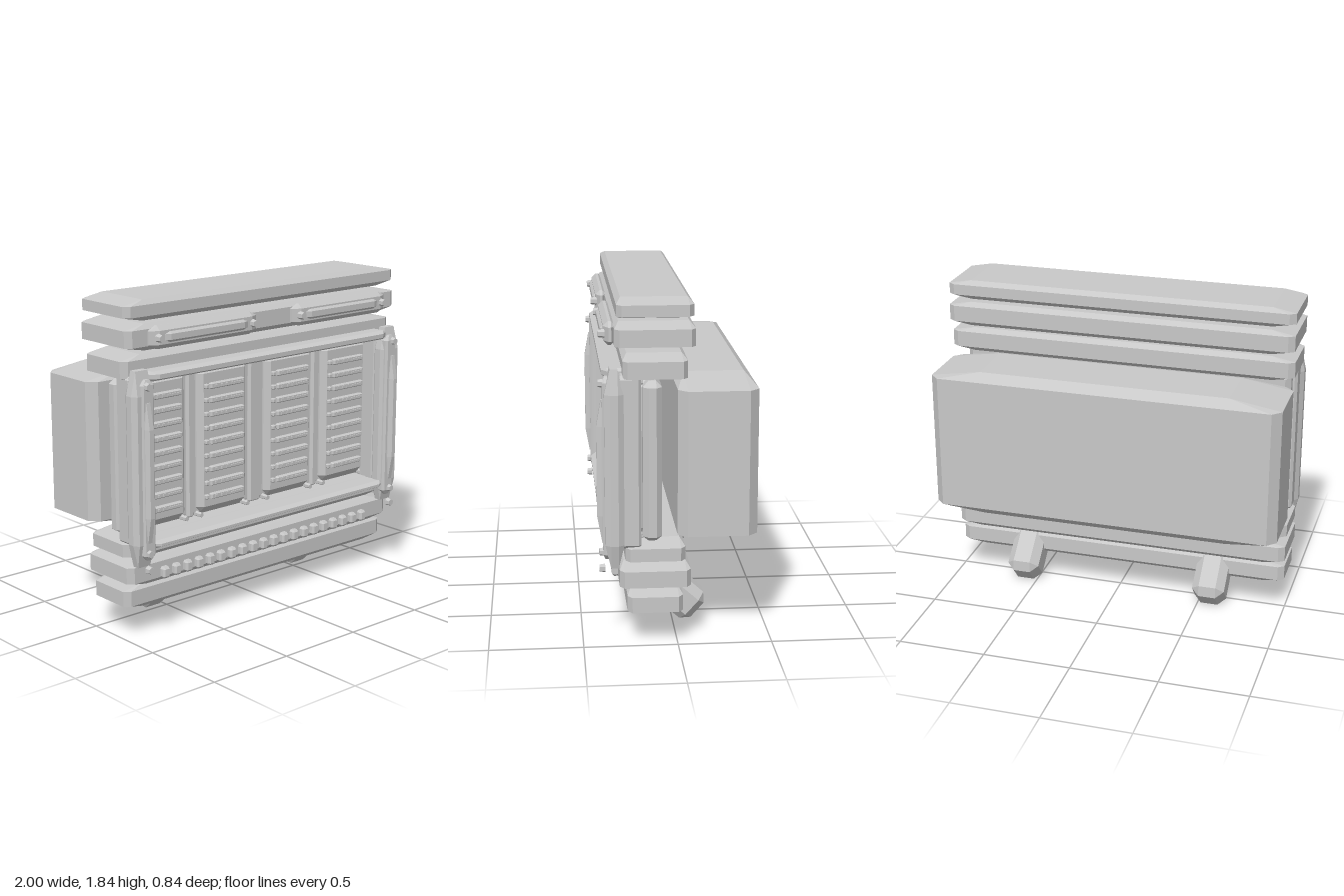
import * as THREE from 'three';
import { ConvexGeometry } from 'three/addons/geometries/ConvexGeometry.js';

const steel = new THREE.MeshStandardMaterial({ color: 0xc8c8c8 });
steel.name = 'plainGrey';

// Box with chamfered edges. topX insets the top and bottom faces, faceX the front and back faces.
function chamferBox(w, h, d, { y = 0.02, z = 0.02, topX = 0.02, faceX = 0.02 } = {}) {
  const points = [];
  for (const sx of [-1, 1]) for (const sy of [-1, 1]) for (const sz of [-1, 1]) {
    const X = w / 2, Y = h / 2, Z = d / 2;
    points.push(
      new THREE.Vector3(sx * X, sy * (Y - y), sz * (Z - z)),
      new THREE.Vector3(sx * (X - topX), sy * Y, sz * (Z - z)),
      new THREE.Vector3(sx * (X - faceX), sy * (Y - y), sz * Z));
  }
  return new ConvexGeometry(points);
}

function add(parent, name, geometry, x = 0, y = 0, z = 0) {
  const mesh = new THREE.Mesh(geometry, steel);
  mesh.name = name;
  mesh.position.set(x, y, z);
  parent.add(mesh);
  return mesh;
}

// Chamfered box given by its lowest and highest y and z
function slab(parent, name, x, w, [y0, y1], [z0, z1], bevel) {
  return add(parent, name, chamferBox(w, y1 - y0, z1 - z0, bevel), x, (y0 + y1) / 2, (z0 + z1) / 2);
}

// Six-sided bolt facing forward
function bolt(parent, x, y, z, r = 0.024, depth = 0.03) {
  const g = new THREE.CylinderGeometry(r * 0.8, r, depth, 6).toNonIndexed();
  g.rotateX(Math.PI / 2);
  g.computeVertexNormals();
  add(parent, 'bolt', g, x, y, z);
}

// One panel with nine rows of slotted units
function rackModule(x) {
  const rack = new THREE.Group();
  rack.name = 'rackModule';
  rack.position.x = x;
  slab(rack, 'rackPlate', 0, 0.36, [0.62, 1.44], [0.12, 0.22], { y: 0.03, z: 0.03, topX: 0.03, faceX: 0.03 });
  const unit = chamferBox(0.25, 0.034, 0.03, { y: 0.006, z: 0.008, topX: 0.012, faceX: 0.008 });
  const button = chamferBox(0.026, 0.026, 0.024, { y: 0.005, z: 0.005, topX: 0.005, faceX: 0.005 });
  const strip = new THREE.BoxGeometry(0.09, 0.008, 0.008);
  const lamp = new THREE.BoxGeometry(0.016, 0.014, 0.01);
  for (let row = 0; row < 9; row++) {
    const y = 0.71 + row * 0.0787;
    add(rack, 'unitBar', unit, 0.008, y, 0.23);
    add(rack, 'unitButton', button, -0.137, y, 0.228);
    add(rack, 'unitStrip', strip, 0.07, y, 0.247);
    for (const dx of [-0.085, -0.04, -0.005]) add(rack, 'unitLamp', lamp, dx, y, 0.247);
  }
  for (const sx of [-1, 1]) for (const y of [0.61, 1.44]) bolt(rack, sx * 0.172, y, 0.2, 0.017, 0.05);
  return rack;
}

export function createModel() {
  const model = new THREE.Group();
  model.name = 'wallConsole';

  // Stacked horizontal beams: y range, z range, width
  const beams = [
    ['topBeam', [1.77, 1.88], [-0.08, 0.315], 2],
    ['signBeam', [1.615, 1.755], [-0.09, 0.325], 2],
    ['upperBeam', [1.45, 1.59], [-0.05, 0.285], 2],
    ['lowerBeam', [0.475, 0.595], [-0.04, 0.275], 1.99],
    ['toothedBeam', [0.33, 0.47], [-0.07, 0.305], 1.99],
    ['footBeam', [0.19, 0.325], [-0.03, 0.265], 1.98],
  ];
  for (const [name, ys, zs, w] of beams)
    slab(model, name, 0, w, ys, zs, { y: 0.025, z: 0.025, topX: 0.13, faceX: 0.035 });

  // Large rear housing
  slab(model, 'rearHousing', 0, 2, [0.585, 1.455], [-0.42, 0], { y: 0.047, z: 0.05, topX: 0.29, faceX: 0.05 });

  // Panel behind the racks
  slab(model, 'backPanel', 0, 1.92, [0.59, 1.45], [0.08, 0.18], { y: 0.03, z: 0.03, topX: 0.05, faceX: 0.03 });

  // Racks and the ribs between them
  for (const x of [-0.7, -0.25, 0.25, 0.7]) model.add(rackModule(x));
  for (const x of [-0.475, 0, 0.475])
    slab(model, 'rackRib', x, x ? 0.05 : 0.09, [0.6, 1.46], [0.12, 0.2], { y: 0.01, z: 0.015, topX: 0.01, faceX: 0.012 });

  // Frame rails above and below the racks
  const railBevel = { y: 0.014, z: 0.03, topX: 0.02, faceX: 0.05 };
  slab(model, 'topRail', 0, 1.78, [1.46, 1.512], [0.19, 0.39], railBevel);
  slab(model, 'bottomRail', 0, 1.78, [0.55, 0.592], [0.19, 0.39], railBevel);

  for (const s of [-1, 1]) {
    // Side columns with long tapered ends
    slab(model, 'sideWall', s * 0.92, 0.12, [0.565, 1.49], [0.19, 0.31], { y: 0.02, z: 0.015, topX: 0.02, faceX: 0.015 });
    slab(model, 'sideColumn', s * 0.93, 0.14, [0.46, 1.525], [0.28, 0.38], { y: 0.13, z: 0.03, topX: 0.03, faceX: 0.02 });
    slab(model, 'columnPlate', s * 0.915, 0.085, [0.5, 1.48], [0.34, 0.39], { y: 0.03, z: 0.012, topX: 0.03, faceX: 0.012 });
    // Grip on each column
    slab(model, 'columnGrip', s * 0.922, 0.05, [0.6, 1.36], [0.36, 0.42], { y: 0.14, z: 0.025, topX: 0.012, faceX: 0.012 });
    for (const y of [0.45, 0.54, 1.445]) bolt(model, s * 0.925, y, 0.395);

    // Light bars on the front of the second beam
    const bar = new THREE.Group();
    bar.name = 'lightBar';
    bar.position.set(s * 0.505, 1.685, 0);
    slab(bar, 'barPlate', 0, 0.74, [-0.062, 0.062], [0.31, 0.375], { y: 0.025, z: 0.025, topX: 0.05, faceX: 0.05 });
    slab(bar, 'barRidge', 0, 0.57, [-0.028, 0.028], [0.36, 0.39], { y: 0.012, z: 0.012, topX: 0.03, faceX: 0.03 });
    for (const dx of [-0.325, 0.325]) bolt(bar, dx, 0, 0.385, 0.024, 0.035);
    model.add(bar);

    // Slanted feet
    const foot = add(model, 'foot',
      chamferBox(0.19, 0.43, 0.2, { y: 0.045, z: 0.045, topX: 0.045, faceX: 0.045 }), s * 0.57, 0.224, 0.02);
    foot.rotation.x = 0.84;
  }

  // Row of teeth along the fifth beam
  const tooth = chamferBox(0.048, 0.065, 0.06, { y: 0.012, z: 0.012, topX: 0.01, faceX: 0.01 });
  for (let i = 0; i < 20; i++) add(model, 'tooth', tooth, (i - 9.5) * 0.0802, 0.382, 0.308);

  return model;
}
